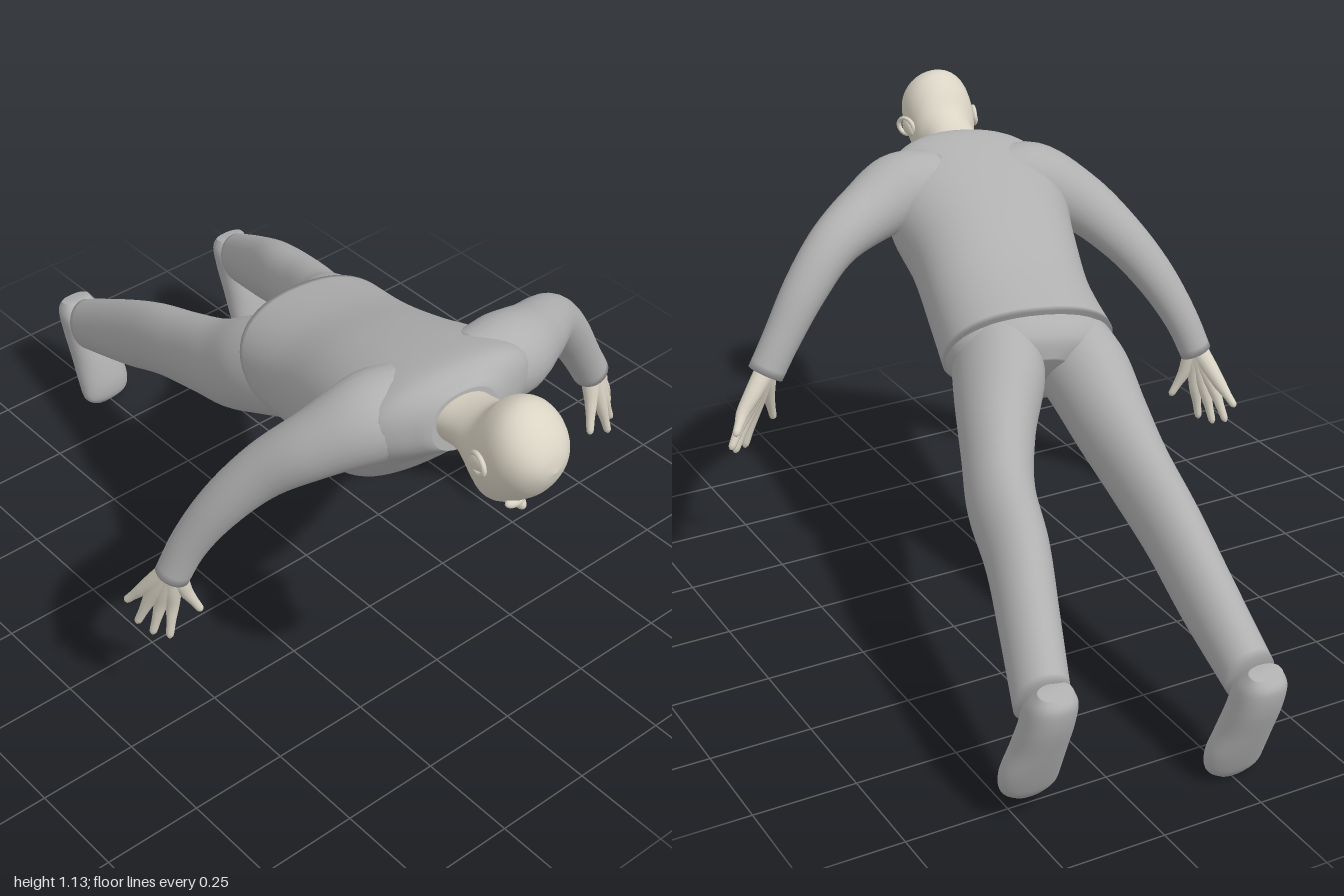
import * as THREE from 'three';

const cloth = new THREE.MeshStandardMaterial({ color: 0xb0b0b0 });
cloth.name = 'grey cloth';
const skin = new THREE.MeshStandardMaterial({ color: 0xdad4c5 });
skin.name = 'pale skin';

// Closed smooth surface over rings of points that run counter-clockwise about the path
function skinRings(rings) {
  const n = rings[0].length, pos = [], idx = [];
  rings.forEach(r => r.forEach(p => pos.push(p.x, p.y, p.z)));
  for (let i = 0; i < rings.length - 1; i++) {
    for (let j = 0; j < n; j++) {
      const a = i * n + j, b = i * n + (j + 1) % n;
      idx.push(a, b, b + n, a, b + n, a + n);
    }
  }
  [0, rings.length - 1].forEach((k, end) => {
    const c = new THREE.Vector3();
    rings[k].forEach(p => c.addScaledVector(p, 1 / n));
    const id = pos.length / 3;
    pos.push(c.x, c.y, c.z);
    for (let j = 0; j < n; j++) {
      const a = k * n + j, b = k * n + (j + 1) % n;
      if (end) idx.push(id, a, b); else idx.push(id, b, a);
    }
  });
  const g = new THREE.BufferGeometry();
  g.setAttribute('position', new THREE.Float32BufferAttribute(pos, 3));
  g.setIndex(idx);
  g.computeVertexNormals();
  return g;
}

// Spline through rows of numbers
function spline(rows, t) {
  const f = t * (rows.length - 1), i = Math.min(Math.floor(f), rows.length - 2), u = f - i;
  const at = k => rows[Math.max(0, Math.min(rows.length - 1, k))];
  return rows[0].map((_, k) => {
    const [a, b, c, d] = [at(i - 1)[k], at(i)[k], at(i + 1)[k], at(i + 2)[k]];
    return b + 0.5 * u * (c - a + u * (2 * a - 5 * b + 4 * c - d + u * (3 * (b - c) + d - a)));
  });
}

// Loft: each row is [centre x, half width, back z, back y, front z, front y]
function loft(rows, { dy = 0, dz = 0, square = 2, taper = 0, n = 40 } = {}) {
  const steps = (rows.length - 1) * 7, rings = [];
  const e = 2 / square, pw = v => Math.sign(v) * Math.abs(v) ** e;
  for (let i = 0; i <= steps; i++) {
    const [cx, hw, tz, ty, bz, by] = spline(rows, i / steps);
    const ring = [];
    for (let j = 0; j < n; j++) {
      const a = j / n * Math.PI * 2, d = pw(Math.sin(a));
      const s = pw(Math.cos(a)) * hw * (1 + taper * d);
      ring.push(new THREE.Vector3(cx + s,
        (ty + by) / 2 + d * (ty - by) / 2 + s * dy,
        (tz + bz) / 2 + d * (tz - bz) / 2 + s * dz));
    }
    rings.push(ring);
  }
  const [, , tz, ty, bz, by] = rows[0], q = rows[rows.length - 1];
  const facing = (ty - by) * (q[2] + q[4] - tz - bz) - (tz - bz) * (q[3] + q[5] - ty - by);
  if (facing < 0) rings.reverse();
  return skinRings(rings);
}

// Round limb: each row is [x, y, z, radius]
function limb(rows, n = 24) {
  const curve = new THREE.CatmullRomCurve3(rows.map(r => new THREE.Vector3(...r)));
  const steps = (rows.length - 1) * 6;
  const fr = curve.computeFrenetFrames(steps, false), rings = [];
  for (let i = 0; i <= steps; i++) {
    // Frames are spaced by length, so find the matching spline parameter
    const t = curve.getUtoTmapping(i / steps), c = curve.getPoint(t), r = spline(rows, t)[3];
    rings.push(Array.from({ length: n }, (_, j) => {
      const a = j / n * Math.PI * 2;
      return c.clone().addScaledVector(fr.normals[i], r * Math.cos(a))
        .addScaledVector(fr.binormals[i], r * Math.sin(a));
    }));
  }
  return skinRings(rings);
}

export function createModel() {
  const root = new THREE.Group();
  root.name = 'proneFigure';
  const add = (name, geo, mat, parent = root) => {
    const m = new THREE.Mesh(geo, mat);
    m.name = name;
    parent.add(m);
    return m;
  };
  const blob = (name, p, s, parent, tilt = 0) => {
    const m = add(name, new THREE.SphereGeometry(1, 20, 14), skin, parent);
    m.position.set(...p);
    m.scale.set(...s);
    m.rotation.x = tilt;
  };

  // Sweater body, from hem to collar
  add('sweater', loft([
    [0.015, 0.208, -0.05, 0.83, 0.13, 0.57],
    [-0.02, 0.203, 0.14, 0.885, 0.25, 0.595],
    [-0.07, 0.212, 0.33, 0.965, 0.42, 0.65],
    [-0.1, 0.235, 0.5, 1.025, 0.54, 0.72],
    [-0.12, 0.205, 0.62, 1.055, 0.63, 0.83],
    [-0.14, 0.115, 0.675, 1.04, 0.69, 0.88],
    [-0.145, 0.082, 0.69, 1.03, 0.705, 0.89],
  ], { dy: 0.07, dz: 0.17, square: 2.3, n: 56 }), cloth);

  // Sleeves
  add('leftSleeve', limb([
    [-0.02, 0.945, 0.57, 0.09], [0.09, 0.945, 0.575, 0.1], [0.2, 0.92, 0.54, 0.082],
    [0.33, 0.873, 0.48, 0.064], [0.42, 0.785, 0.45, 0.056], [0.495, 0.675, 0.435, 0.048],
    [0.545, 0.592, 0.43, 0.046],
  ]), cloth);
  add('rightSleeve', limb([
    [-0.16, 0.93, 0.54, 0.09], [-0.26, 0.925, 0.53, 0.102], [-0.365, 0.873, 0.475, 0.08],
    [-0.45, 0.785, 0.39, 0.064], [-0.52, 0.68, 0.325, 0.054], [-0.575, 0.565, 0.275, 0.045],
    [-0.608, 0.472, 0.25, 0.042],
  ]), cloth);

  // Hands: wrist, then [knuckle, tip] for thumb and four fingers
  const hands = {
    leftHand: [[0.545, 0.6, 0.43], [
      [[0.53, 0.52, 0.455], [0.51, 0.44, 0.48]], [[0.575, 0.48, 0.45], [0.6, 0.388, 0.46]],
      [[0.6, 0.477, 0.435], [0.638, 0.395, 0.43]], [[0.618, 0.488, 0.417], [0.66, 0.422, 0.398]],
      [[0.623, 0.512, 0.4], [0.657, 0.472, 0.368]]]],
    rightHand: [[-0.608, 0.488, 0.25], [
      [[-0.58, 0.41, 0.262], [-0.55, 0.345, 0.278]], [[-0.605, 0.37, 0.242], [-0.62, 0.276, 0.245]],
      [[-0.622, 0.364, 0.218], [-0.64, 0.272, 0.205]], [[-0.637, 0.372, 0.196], [-0.656, 0.289, 0.167]],
      [[-0.643, 0.395, 0.178], [-0.664, 0.343, 0.137]]]],
  };
  for (const [name, [wrist, fingers]] of Object.entries(hands)) {
    const hand = new THREE.Group();
    hand.name = name;
    root.add(hand);
    const mix = (a, b, t) => a.map((v, i) => v + (b[i] - v) * t);
    fingers.forEach(([knuckle, tip], i) => {
      add(i ? 'finger' : 'thumb', limb([
        [...wrist, 0.026], [...mix(wrist, knuckle, 0.55), 0.022], [...knuckle, 0.0165],
        [...mix(knuckle, tip, 0.5), 0.0115], [...mix(knuckle, tip, 0.92), 0.009], [...tip, 0.004],
      ], 12), skin, hand);
    });
  }

  // Trousers: seat and two legs
  add('trouserSeat', loft([
    [0.015, 0.19, 0.02, 0.83, 0.16, 0.6],
    [0.015, 0.2, -0.045, 0.815, 0.11, 0.565],
    [0.025, 0.16, -0.085, 0.775, 0.04, 0.56],
    [0.03, 0.07, -0.09, 0.72, 0.0, 0.6],
  ], { dy: 0.07, dz: 0.17, square: 2.2 }), cloth);
  add('leftTrouserLeg', loft([
    [0.1, 0.1, -0.01, 0.815, 0.12, 0.6],
    [0.145, 0.105, -0.115, 0.765, 0.0, 0.545],
    [0.215, 0.086, -0.22, 0.685, -0.14, 0.48],
    [0.285, 0.076, -0.36, 0.62, -0.29, 0.42],
    [0.335, 0.07, -0.53, 0.56, -0.46, 0.375],
    [0.39, 0.065, -0.68, 0.475, -0.62, 0.305],
    [0.45, 0.06, -0.85, 0.37, -0.78, 0.235],
  ], { dz: 0.25 }), cloth);
  add('rightTrouserLeg', loft([
    [-0.085, 0.1, -0.01, 0.805, 0.12, 0.58],
    [-0.095, 0.103, -0.12, 0.745, 0.0, 0.53],
    [-0.09, 0.09, -0.24, 0.665, -0.14, 0.46],
    [-0.075, 0.076, -0.38, 0.6, -0.3, 0.405],
    [-0.06, 0.069, -0.55, 0.53, -0.48, 0.345],
    [-0.045, 0.064, -0.73, 0.435, -0.66, 0.265],
    [-0.032, 0.059, -0.92, 0.325, -0.86, 0.195],
  ]), cloth);

  // Shoes, heel to toe
  const shoe = loft([
    [0.448, 0.04, -0.845, 0.362, -0.895, 0.35],
    [0.45, 0.056, -0.8, 0.315, -0.91, 0.325],
    [0.455, 0.06, -0.78, 0.25, -0.9, 0.27],
    [0.46, 0.064, -0.76, 0.19, -0.872, 0.2],
    [0.467, 0.072, -0.745, 0.125, -0.838, 0.125],
    [0.466, 0.066, -0.747, 0.078, -0.812, 0.075],
    [0.464, 0.035, -0.765, 0.052, -0.792, 0.05],
  ], { square: 2.3 });
  add('leftShoe', shoe, cloth);
  add('rightShoe', shoe, cloth).position.set(-0.473, -0.047, -0.09);

  // Head and neck, from collar to crown
  const head = new THREE.Group();
  head.name = 'head';
  root.add(head);
  add('skull', loft([
    [-0.142, 0.074, 0.65, 1.015, 0.68, 0.9],
    [-0.147, 0.07, 0.72, 1.03, 0.745, 0.9],
    [-0.155, 0.074, 0.785, 1.06, 0.79, 0.853],
    [-0.165, 0.088, 0.83, 1.108, 0.835, 0.847],
    [-0.172, 0.094, 0.88, 1.136, 0.885, 0.873],
    [-0.176, 0.09, 0.925, 1.13, 0.926, 0.908],
    [-0.178, 0.072, 0.965, 1.1, 0.963, 0.945],
    [-0.179, 0.042, 0.99, 1.063, 0.988, 0.985],
    [-0.179, 0.004, 0.999, 1.024, 0.999, 1.02],
  ], { taper: 0.12 }), skin, head);
  blob('nose', [-0.162, 0.867, 0.882], [0.013, 0.017, 0.026], head, 0.5);
  blob('lips', [-0.158, 0.85, 0.843], [0.022, 0.01, 0.012], head);
  blob('chin', [-0.155, 0.858, 0.805], [0.03, 0.015, 0.02], head);
  for (const s of [-1, 1]) {
    blob('brow', [-0.168 + s * 0.033, 0.905, 0.913], [0.028, 0.012, 0.014], head, 0.6);
    blob('ear', [-0.167 + s * 0.096, 1.005, 0.862], [0.01, 0.022, 0.03], head, -0.4);
    const rim = add('earRim', new THREE.TorusGeometry(0.024, 0.006, 8, 24), skin, head);
    rim.position.set(-0.167 + s * 0.101, 1.008, 0.864);
    rim.rotation.set(0, Math.PI / 2 + s * 0.3, 0);
    rim.scale.set(1.15, 0.9, 1);
  }
  return root;
}
